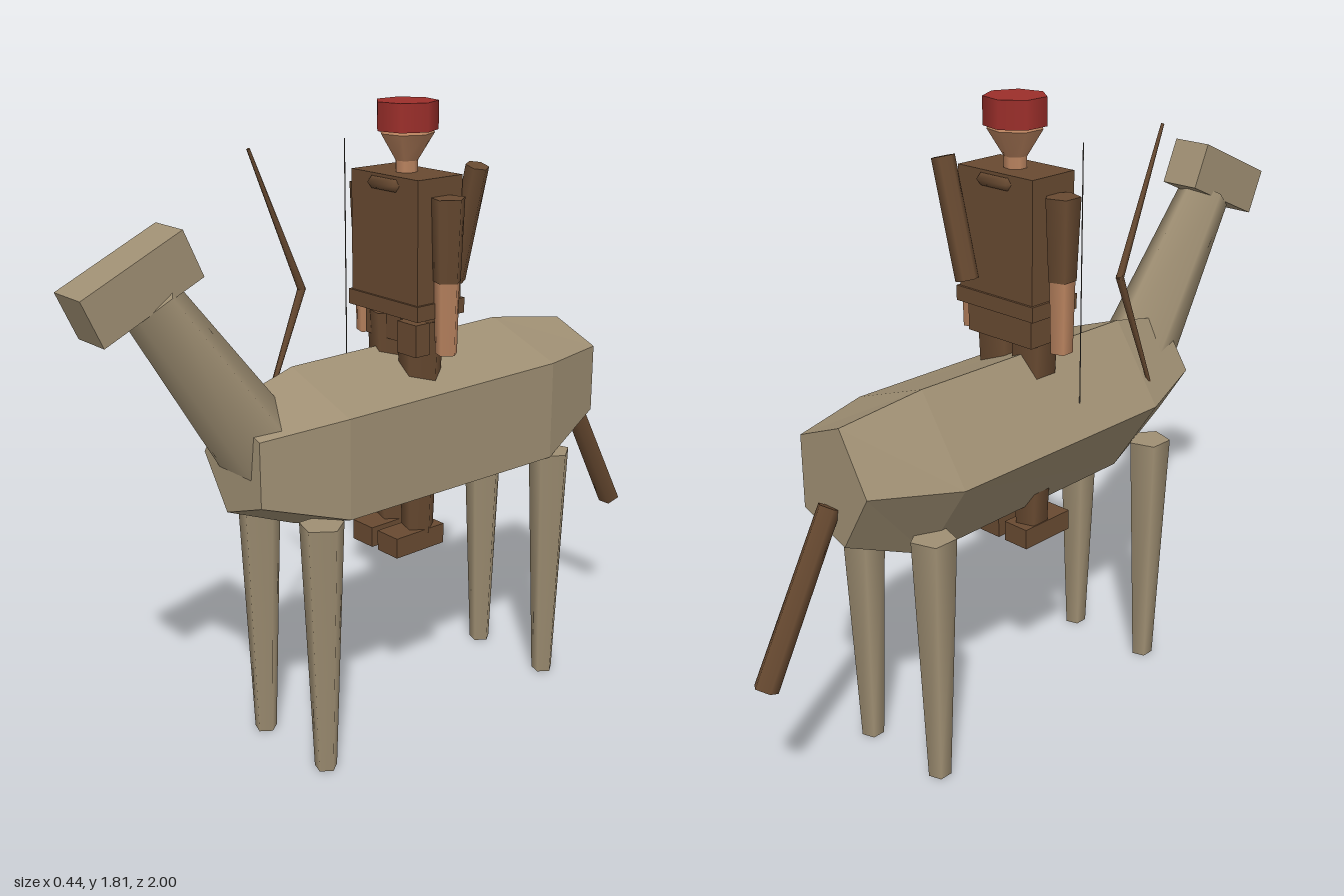
import * as THREE from 'three';

const mat = (name, color) => {
  const m = new THREE.MeshStandardMaterial({ color });
  m.name = name;
  return m;
};

export function createModel() {
  const model = new THREE.Group();
  model.name = 'mountedRider';
  const hide = mat('tanHide', 0x9f8f73);
  const brown = mat('brownCloth', 0x684a31);
  const skin = mat('skin', 0xb9835f);
  const red = mat('redHat', 0x9c2f2b);
  const cord = mat('cord', 0x55504a);

  const add = (name, geometry, material, x = 0, y = 0, z = 0) => {
    const mesh = new THREE.Mesh(geometry, material);
    mesh.name = name;
    mesh.position.set(x, y, z);
    model.add(mesh);
    return mesh;
  };
  const box = (name, material, w, h, d, x, y, z) =>
    add(name, new THREE.BoxGeometry(w, h, d), material, x, y, z);
  // Tapered few-sided rod from a low point to a high point
  const rod = (name, material, low, high, rLow, rHigh, sides = 5, roll = Math.PI / 2) => {
    const a = new THREE.Vector3(...low), b = new THREE.Vector3(...high);
    const dir = b.clone().sub(a);
    const geometry = new THREE.CylinderGeometry(rHigh, rLow, dir.length(), sides).rotateY(roll);
    const mesh = add(name, geometry, material);
    mesh.position.copy(a).add(b).multiplyScalar(0.5);
    mesh.quaternion.setFromUnitVectors(new THREE.Vector3(0, 1, 0), dir.normalize());
    return mesh;
  };

  // Animal body: five-sided barrel, narrowed at both ends
  const rings = [ // z, centre y, half width, half height
    [-0.72, 0.92, 0.14, 0.174],
    [-0.465, 0.885, 0.225, 0.25],
    [0.305, 0.887, 0.222, 0.242],
    [0.55, 0.912, 0.14, 0.155],
  ];
  let barrel = new THREE.CylinderGeometry(1, 1, 3, 5, 3).rotateY(-Math.PI / 2).rotateX(Math.PI / 2);
  const p = barrel.attributes.position;
  for (let i = 0; i < p.count; i++) {
    const [z, cy, rx, ry] = rings[Math.round(p.getZ(i) + 1.5)];
    p.setXYZ(i, p.getX(i) * rx, cy + p.getY(i) * ry, z);
  }
  barrel = barrel.toNonIndexed();
  barrel.computeVertexNormals();
  add('animalBody', barrel, hide);

  // Animal legs, neck, head and tail
  for (const x of [-0.1425, 0.1425])
    for (const z of [0.375, -0.507])
      rod('animalLeg', hide, [x, 0, z], [x, 0.74, z], 0.033, 0.064);
  rod('animalNeck', hide, [0, 0.91, 0.445], [0, 1.395, 0.785], 0.125, 0.083, 5, Math.PI);
  box('animalHead', hide, 0.12, 0.135, 0.314, 0, 1.44, 0.83).rotation.x = 0.424;
  rod('tail', brown, [0, 0.425, -0.965], [0, 0.86, -0.73], 0.035, 0.032, 5, Math.PI);

  // Rider legs, feet and arms
  const rz = -0.047;
  for (const s of [-1, 1]) {
    rod('riderLeg', brown, [s * 0.055, 0.585, rz], [s * 0.065, 1.22, rz], 0.048, 0.068);
    box('foot', brown, 0.085, 0.06, 0.18, s * 0.055, 0.565, -0.02);
    rod('sleeve', brown, [s * 0.168, 1.34, rz], [s * 0.168, 1.567, rz], 0.04, 0.05);
    rod('forearm', skin, [s * 0.168, 1.138, rz], [s * 0.168, 1.345, rz], 0.032, 0.037);
  }

  // Rider torso and clothing
  box('torso', brown, 0.274, 0.35, 0.16, 0, 1.442, rz);
  box('belt', brown, 0.29, 0.043, 0.174, 0, 1.257, rz);
  box('skirt', brown, 0.24, 0.09, 0.112, 0, 1.195, -0.057);
  box('pouch', brown, 0.077, 0.09, 0.05, 0.112, 1.185, 0.025);
  const collar = new THREE.TorusGeometry(0.09, 0.018, 5, 6).rotateX(Math.PI / 2).rotateY(0);
  collar.rotateY(0);
  add('collarRoll', collar, brown, 0, 1.592, rz);

  // Rider head
  rod('riderNeck', skin, [0, 1.6, rz], [0, 1.66, rz], 0.032, 0.032, 7);
  rod('riderFace', skin, [0, 1.645, rz], [0, 1.722, rz], 0.03, 0.077, 7);
  rod('riderBrow', skin, [0, 1.722, rz], [0, 1.75, rz], 0.077, 0.06, 7);
  rod('hat', red, [0, 1.73, rz], [0, 1.807, rz], 0.087, 0.087, 7);

  // Quiver slung on the back
  rod('quiver', brown, [0.075, 1.315, -0.16], [0.16, 1.64, -0.16], 0.033, 0.033, 6);

  // Bow: two thin limbs meeting at the grip, and a string
  rod('upperBowLimb', brown, [-0.17, 1.29, 0.187], [-0.17, 1.697, 0.355], 0.012, 0.005);
  rod('lowerBowLimb', brown, [-0.17, 0.89, 0.355], [-0.17, 1.3, 0.187], 0.005, 0.012);
  rod('bowString', cord, [-0.17, 0.89, 0.03], [-0.17, 1.695, 0.03], 0.002, 0.002, 4);

  return model;
}
